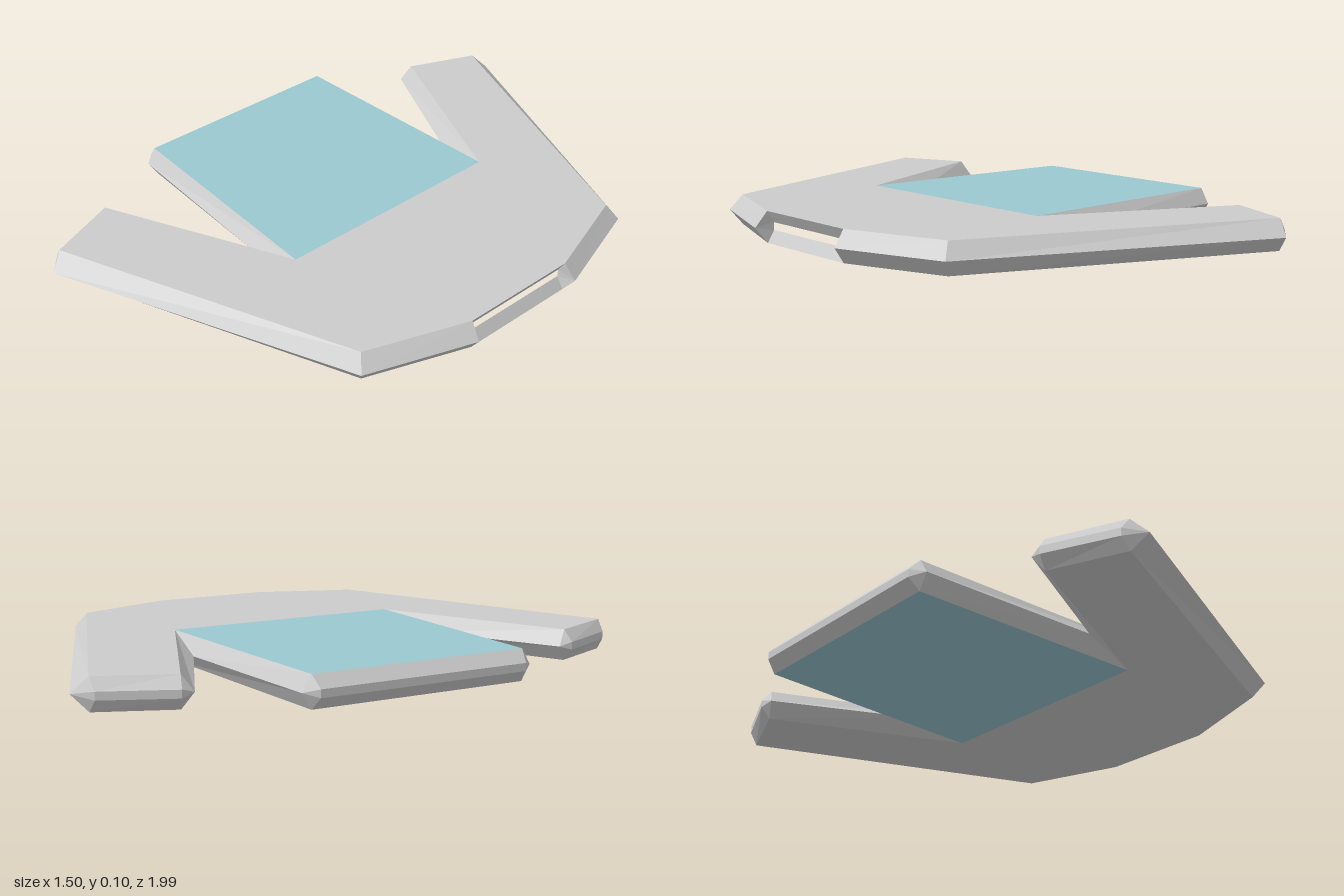
import * as THREE from 'three';

const HEIGHT = 0.105;
const MID = HEIGHT / 2;
const BAND = 0.013; // half height of the flat band on blunt ends

// Half outline: cap corner [x, z], rim corner [x, z], band half height, mirror skew
const HALF = [
  { cap: [0.71, 0.21], rim: [0.685, 0.21], band: BAND },          // slot end
  { cap: [0.71, 0.21], rim: [0.75, 0.22] },
  { cap: [0.59, 0.555], rim: [0.625, 0.585] },                    // shoulder
  { cap: [-0.43, 0.95], rim: [-0.4, 0.997] },                     // arm tip
  { cap: [-0.43, 0.95], rim: [-0.46, 0.945], band: BAND },
  { cap: [-0.53, 0.71], rim: [-0.56, 0.72], band: BAND },
  { cap: [-0.53, 0.71], rim: [-0.55, 0.675] },
  { cap: [0.12, 0.415], rim: [-0.085, 0.445], skew: 0.01 },       // notch
  { cap: [-0.72, 0.376], rim: [-0.72, 0.408], skew: 0.012 },      // tongue end
  { cap: [-0.72, 0.376], rim: [-0.755, 0.365], band: BAND, skew: 0.012 },
];
const NOTCH = 7;

function mirror(p) {
  const flip = ([x, z]) => [x, -z - (p.skew || 0)];
  return { ...p, cap: flip(p.cap), rim: flip(p.rim) };
}

function makeMesh(name, positions, color) {
  const geometry = new THREE.BufferGeometry();
  geometry.setAttribute('position', new THREE.Float32BufferAttribute(positions, 3));
  geometry.computeVertexNormals();
  const material = new THREE.MeshStandardMaterial({ color, flatShading: true });
  const mesh = new THREE.Mesh(geometry, material);
  mesh.name = name;
  return mesh;
}

// Flat plate through the cap corners, facing up or down
function makePlate(name, points, y, up, color) {
  const corners = points
    .map((p) => new THREE.Vector2(...p.cap))
    .filter((c, i, all) => i === 0 || c.distanceTo(all[i - 1]) > 1e-4);
  const positions = [];
  for (const tri of THREE.ShapeUtils.triangulateShape(corners, [])) {
    const [a, b, c] = tri.map((i) => corners[i]);
    const facesDown = THREE.ShapeUtils.area([a, b, c]) > 0;
    const order = facesDown === up ? [a, c, b] : [a, b, c];
    for (const v of order) positions.push(v.x, y, v.y);
  }
  return makeMesh(name, positions, color);
}

// Bevelled rim running round the whole outline, open at the slot
function makeRim(points) {
  const positions = [];
  const triangle = (a, b, c) => {
    const area = new THREE.Triangle(a, b, c).getArea();
    if (area > 1e-7) for (const v of [a, b, c]) positions.push(v.x, v.y, v.z);
  };
  const quad = (a, b, c, d) => {
    triangle(a, b, c);
    triangle(a, c, d);
  };
  const section = ({ cap, rim, band = 0 }) => [
    new THREE.Vector3(cap[0], HEIGHT, cap[1]),
    new THREE.Vector3(rim[0], MID + band, rim[1]),
    new THREE.Vector3(rim[0], MID - band, rim[1]),
    new THREE.Vector3(cap[0], 0, cap[1]),
  ];
  points.forEach((p, i) => {
    const a = section(p);
    const b = section(points[(i + 1) % points.length]);
    const isSlot = i === points.length - 1;
    for (let k = 0; k < 3; k++) {
      if (isSlot && k === 1) continue;
      quad(a[k], b[k], b[k + 1], a[k + 1]);
    }
  });
  return makeMesh('bevelledRim', positions, 0xcccccc);
}

export function createModel() {
  const group = new THREE.Group();
  group.name = 'bevelledPlate';

  const both = (half) => [...half, ...half.map(mirror).reverse()];
  const body = both(HALF.slice(0, NOTCH + 1));
  const tongue = both(HALF.slice(NOTCH));

  group.add(makeRim(both(HALF)));
  for (const [side, y, up] of [['Top', HEIGHT, true], ['Bottom', 0, false]]) {
    group.add(makePlate('body' + side, body, y, up, 0xcccccc));
    group.add(makePlate('tongue' + side, tongue, y, up, 0x9ac8d1));
  }
  return group;
}
